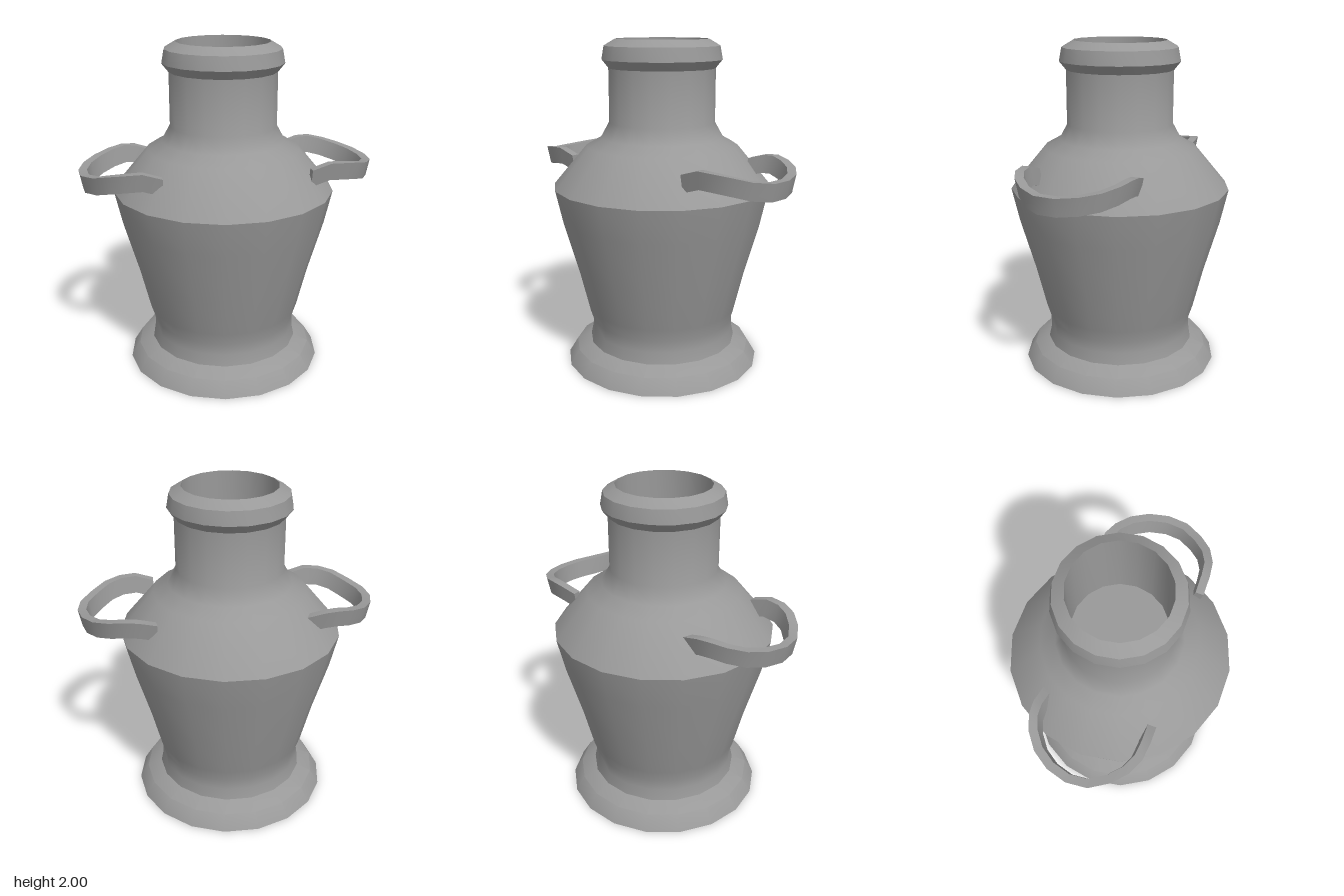
import * as THREE from 'three';
import { toCreasedNormals } from 'three/addons/utils/BufferGeometryUtils.js';

const CREASE = THREE.MathUtils.degToRad(36);

// Sweeps a rectangular strap along a path, its top leaning slightly outward
function strapGeometry(path, thickness, height, lean) {
  const pos = [], idx = [];
  path.forEach((p, i) => {
    const a = path[Math.max(i - 1, 0)], b = path[Math.min(i + 1, path.length - 1)];
    const out = new THREE.Vector3(b.z - a.z, 0, a.x - b.x).normalize();
    for (const [s, v] of [[1, 1], [1, -1], [-1, -1], [-1, 1]]) {
      const d = s * thickness / 2 + v * lean;
      pos.push(p.x + d * out.x, p.y + v * height / 2, p.z + d * out.z);
    }
  });
  for (let i = 0; i < path.length - 1; i++) {
    for (let k = 0; k < 4; k++) {
      const a = i * 4 + k, b = i * 4 + (k + 1) % 4, c = b + 4, d = a + 4;
      idx.push(a, d, c, a, c, b);
    }
  }
  const e = (path.length - 1) * 4;
  idx.push(0, 1, 2, 0, 2, 3, e, e + 2, e + 1, e, e + 3, e + 2);
  const geo = new THREE.BufferGeometry();
  geo.setAttribute('position', new THREE.Float32BufferAttribute(pos, 3));
  geo.setIndex(idx);
  return toCreasedNormals(geo, CREASE);
}

export function createModel() {
  const group = new THREE.Group();
  const grey = new THREE.MeshStandardMaterial({ color: 0x999999 });

  // Body: foot, belly, shoulder, neck, lip and hollow mouth in one profile
  const profile = [
    [0, 0], [0.605, 0], [0.55, 0.09], [0.46, 0.13], [0.445, 0.2], [0.445, 0.27],
    [0.47, 0.35], [0.53, 0.6], [0.62, 0.92], [0.665, 1.125],
    [0.46, 1.37], [0.37, 1.42], [0.32, 1.51], [0.32, 1.83],
    [0.36, 1.88], [0.345, 1.96], [0.277, 2], [0.277, 1.5], [0, 1.5],
  ].map(([r, y]) => new THREE.Vector2(r, y));
  const body = new THREE.Mesh(
    toCreasedNormals(new THREE.LatheGeometry(profile, 18, Math.PI / 2), CREASE), grey);
  body.name = 'jugBody';
  body.position.x = -0.02;
  group.add(body);

  // Handles: drooping straps bowed outward from the shoulder
  const bow = [
    [0.43, 1.25, -0.28], [0.53, 1.28, -0.295], [0.6, 1.285, -0.29], [0.68, 1.27, -0.26],
    [0.76, 1.25, -0.2], [0.82, 1.235, -0.11], [0.85, 1.225, 0], [0.84, 1.225, 0.11],
    [0.78, 1.24, 0.21], [0.71, 1.265, 0.28], [0.63, 1.28, 0.32], [0.54, 1.285, 0.33],
    [0.43, 1.25, 0.33],
  ];
  for (const side of [1, -1]) {
    const path = bow.map(([x, y, z]) => new THREE.Vector3(side * x, y, z));
    if (side < 0) path.reverse();
    const handle = new THREE.Mesh(strapGeometry(path, 0.05, 0.105, 0.01), grey);
    handle.name = side > 0 ? 'leftHandle' : 'rightHandle';
    group.add(handle);
  }
  return group;
}
